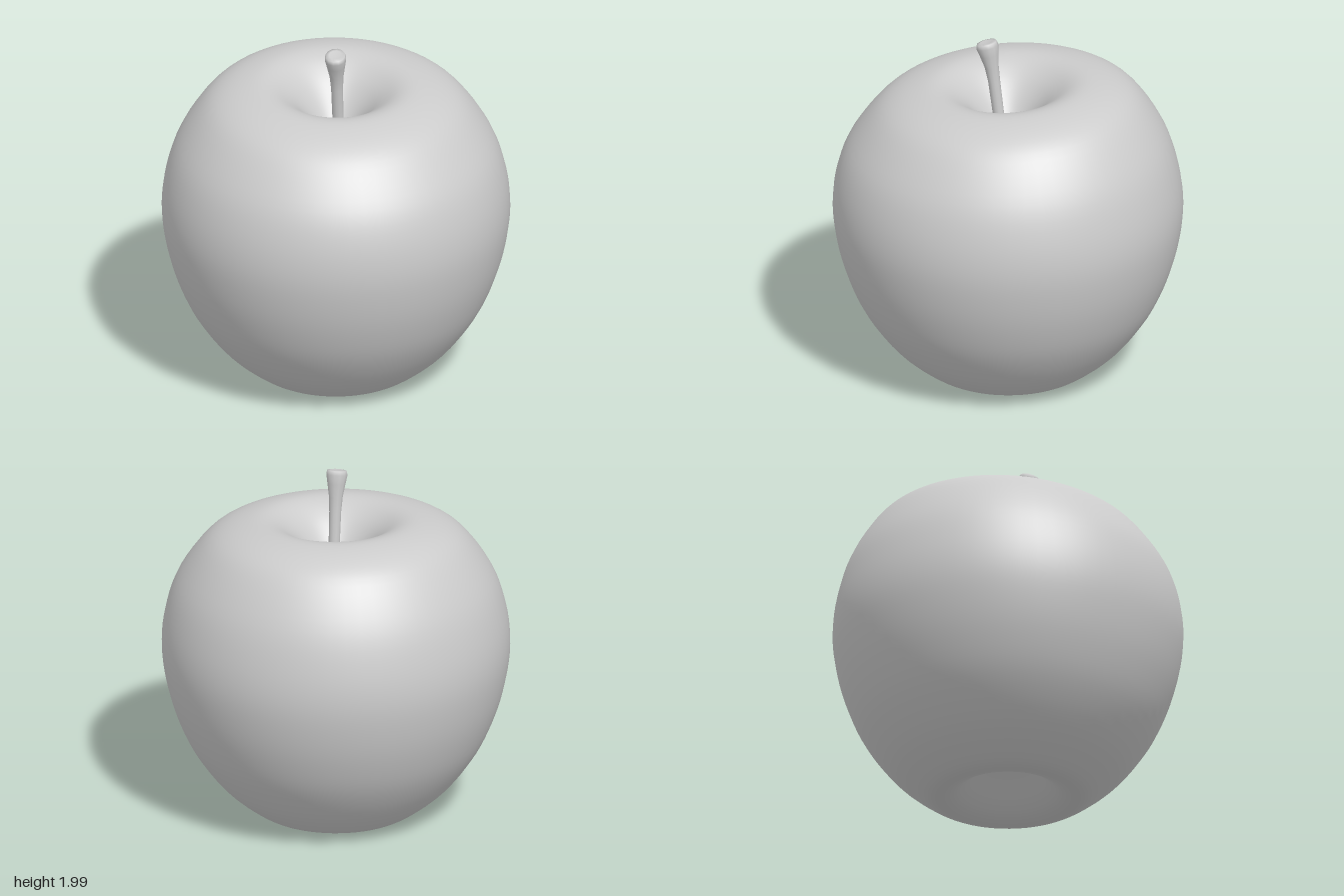
import * as THREE from 'three';
import { mergeVertices } from 'three/addons/utils/BufferGeometryUtils.js';

const material = new THREE.MeshStandardMaterial({ color: 0xcccccc });

// Lathe a [radius, height] profile, then move every vertex by a rule and smooth across the seam.
function turned(name, profile, segments, move) {
  let geometry = new THREE.LatheGeometry(profile, segments);
  geometry.deleteAttribute('uv');
  geometry.deleteAttribute('normal');
  const position = geometry.attributes.position;
  const v = new THREE.Vector3();
  for (let i = 0; i < position.count; i++) {
    v.fromBufferAttribute(position, i);
    move(v);
    position.setXYZ(i, v.x, v.y, v.z);
  }
  geometry = mergeVertices(geometry, 1e-5);
  geometry.computeVertexNormals();
  const mesh = new THREE.Mesh(geometry, material);
  mesh.name = name;
  return mesh;
}

const points = (list) => list.map(([r, y]) => new THREE.Vector2(r, y));

// Fruit body: calyx hollow, flat-footed belly, broad shoulder and stem hollow
function createBody() {
  const outline = new THREE.SplineCurve(points([
    [0, 0.25], [0.07, 0.23], [0.15, 0.16], [0.23, 0.08], [0.31, 0.025], [0.4, 0.01],
    [0.5, 0.06], [0.66, 0.2], [0.805, 0.4], [0.895, 0.6], [0.95, 0.8], [0.973, 1.0],
    [0.951, 1.2], [0.884, 1.4], [0.75, 1.6], [0.625, 1.695], [0.47, 1.74], [0.36, 1.73],
    [0.26, 1.67], [0.18, 1.59], [0.1, 1.49], [0.04, 1.43], [0, 1.42],
  ])).getPoints(88);
  outline[0].x = outline[outline.length - 1].x = 0;
  return turned('fruitBody', outline, 64, (v) => {
    // The shoulder rises toward the back and slightly toward the right
    const high = THREE.MathUtils.smoothstep(v.y, 1.1, 1.75);
    v.y -= high * (0.055 * v.z + 0.022 * v.x);
    v.z *= 1.007;
  });
}

// Stem: thin shaft leaning forward, flaring to a slanted, slightly dished end
function createStem() {
  const outline = points([
    [0, 1.38], [0.035, 1.38], [0.032, 1.55], [0.034, 1.75], [0.04, 1.84],
    [0.052, 1.91], [0.061, 1.96], [0.056, 1.982], [0.035, 1.986], [0, 1.97],
  ]);
  return turned('stem', outline, 12, (v) => {
    const t = (v.y - 1.38) / 0.6;
    const slant = THREE.MathUtils.smoothstep(v.y, 1.8, 1.96);
    v.y -= slant * 0.28 * v.z;
    v.x += 0.022;
    v.z += 0.03 + 0.06 * t + 0.03 * t * t * t;
  });
}

export function createModel() {
  const model = new THREE.Group();
  model.name = 'apple';
  model.add(createBody(), createStem());
  return model;
}
